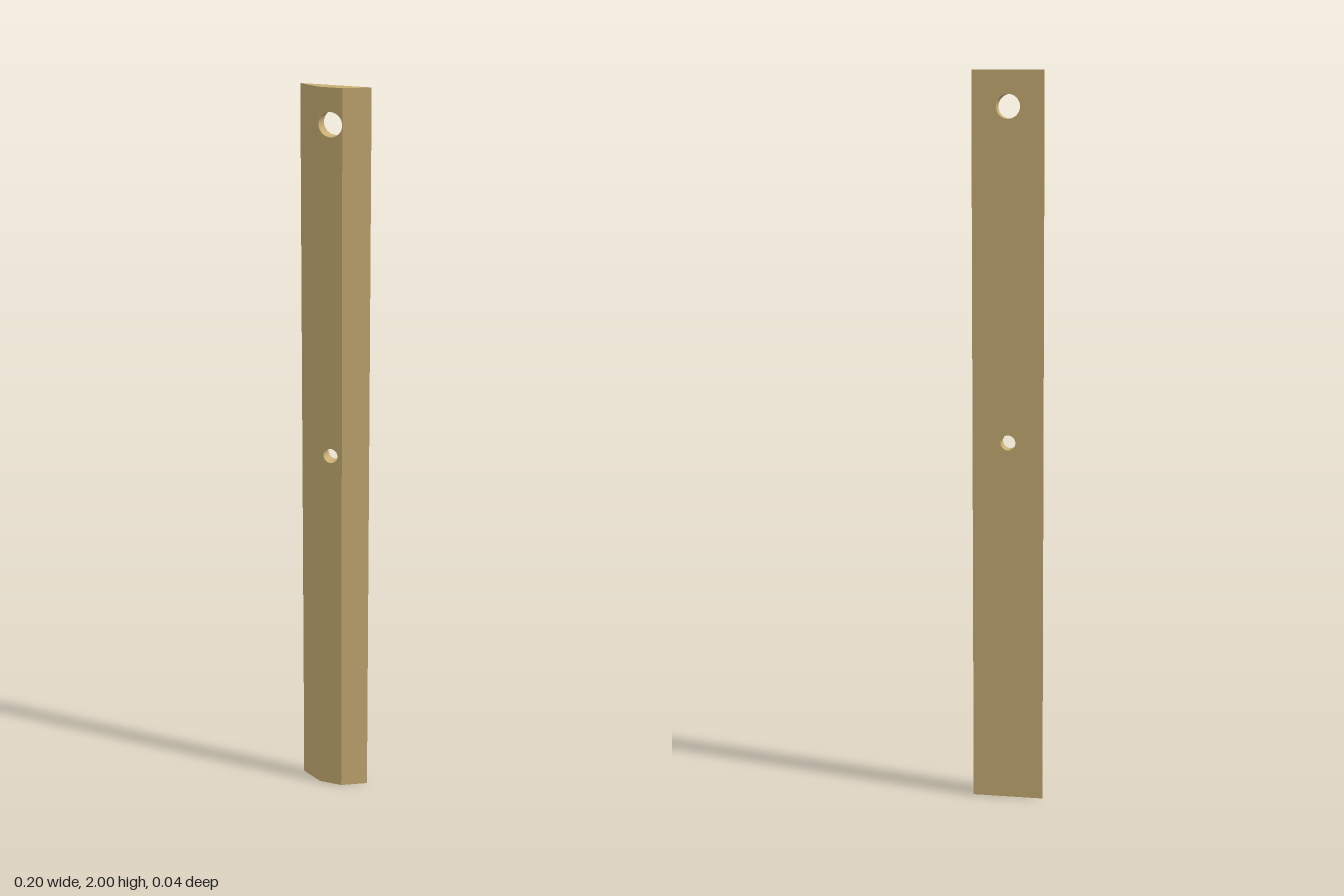
import * as THREE from 'three';

const HEIGHT = 2;
const BACK_HALF = 0.098;  // half width of the wide back face
const FRONT_HALF = 0.033; // half width of the narrow front face
const HALF_DEPTH = 0.019;
const HOLES = [
  { name: 'hangingHole', y: 1.905, r: 0.0325 },
  { name: 'middleHole', y: 1.005, r: 0.0205 },
];

// Flat rectangular face pierced by the holes
function piercedFace(halfWidth) {
  const shape = new THREE.Shape([
    new THREE.Vector2(-halfWidth, 0),
    new THREE.Vector2(halfWidth, 0),
    new THREE.Vector2(halfWidth, HEIGHT),
    new THREE.Vector2(-halfWidth, HEIGHT),
  ]);
  for (const { y, r } of HOLES) {
    shape.holes.push(new THREE.Path().absarc(0, y, r, 0, Math.PI * 2, true));
  }
  return new THREE.ShapeGeometry(shape, 16);
}

// Sloped sides and ends: a box narrowed at the front, without its front and back
function bevelledSides() {
  const box = new THREE.BoxGeometry(2 * BACK_HALF, HEIGHT, 2 * HALF_DEPTH);
  box.translate(0, HEIGHT / 2, 0);
  const pos = box.attributes.position;
  for (let i = 0; i < pos.count; i++) {
    if (pos.getZ(i) > 0) pos.setX(i, Math.sign(pos.getX(i)) * FRONT_HALF);
  }
  box.setIndex(Array.from(box.index.array.slice(0, 24)));
  box.clearGroups();
  box.computeVertexNormals();
  return box;
}

export function createModel() {
  const model = new THREE.Group();
  model.name = 'bevelledSlat';
  const wood = new THREE.MeshStandardMaterial({ color: 0xc8ae74 });
  const holeWood = new THREE.MeshStandardMaterial({ color: 0xc8ae74, side: THREE.DoubleSide });

  const add = (name, geometry, material = wood) => {
    const mesh = new THREE.Mesh(geometry, material);
    mesh.name = name;
    model.add(mesh);
  };

  add('frontFace', piercedFace(FRONT_HALF).translate(0, 0, HALF_DEPTH));
  add('backFace', piercedFace(BACK_HALF).rotateY(Math.PI).translate(0, 0, -HALF_DEPTH));
  add('bevelledSides', bevelledSides());

  // Walls of the through holes
  for (const { name, y, r } of HOLES) {
    const wall = new THREE.CylinderGeometry(r, r, 2 * HALF_DEPTH, 32, 1, true);
    add(name, wall.rotateX(Math.PI / 2).translate(0, y, 0), holeWood);
  }
  return model;
}
